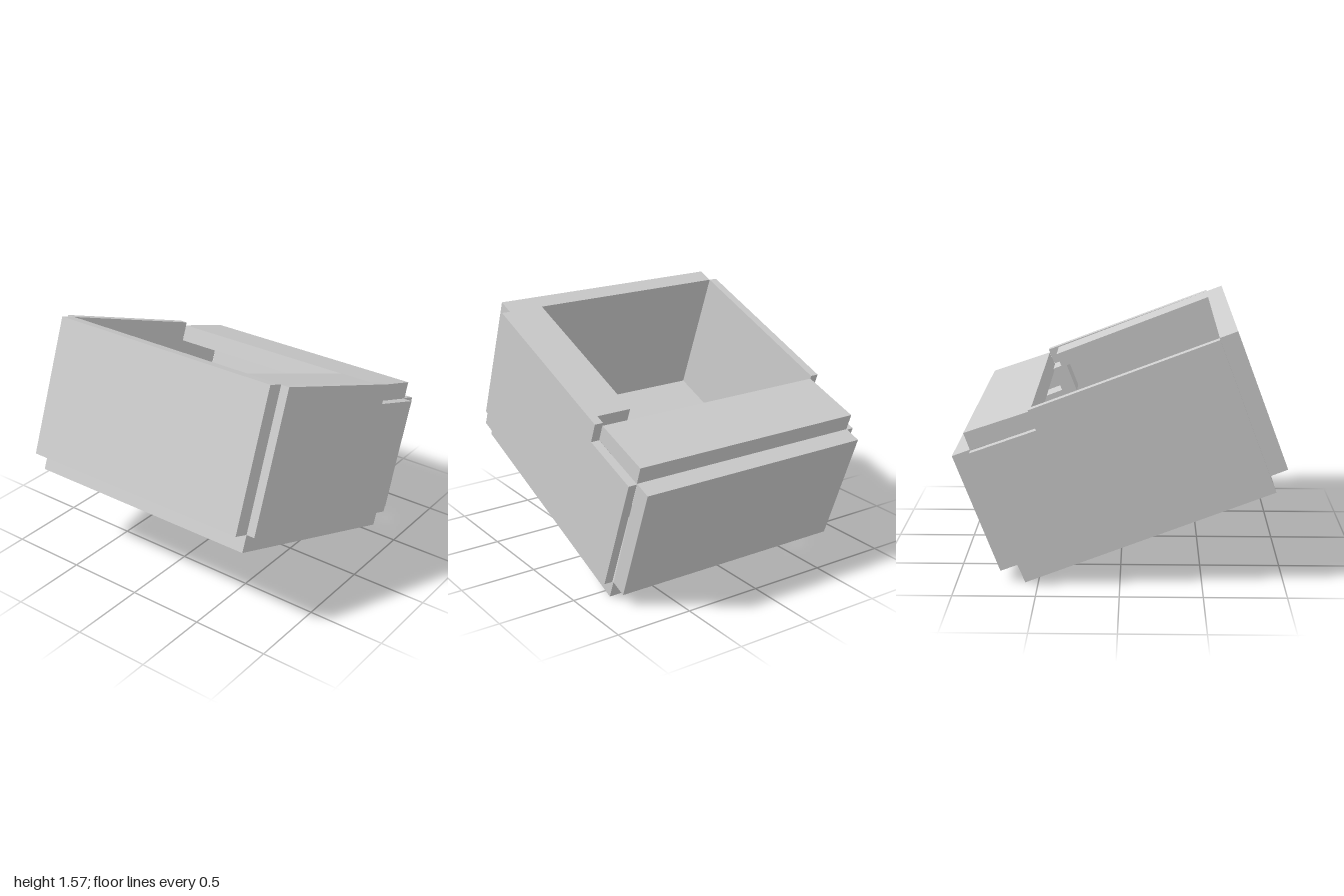
import * as THREE from 'three';

// Tilted open crate: every panel is a slab with its outline in x/y, extruded along z.
export function createModel() {
  const group = new THREE.Group();
  const material = new THREE.MeshStandardMaterial({ color: 0xcccccc, flatShading: true });

  function slab(name, outline, zBack, zFront) {
    const shape = new THREE.Shape(outline.map(([x, y]) => new THREE.Vector2(x, y)));
    const geometry = new THREE.ExtrudeGeometry(shape, { depth: zFront - zBack, bevelEnabled: false });
    geometry.translate(0, 0, zBack);
    const mesh = new THREE.Mesh(geometry, material);
    mesh.name = name;
    group.add(mesh);
  }

  const half = 0.793;

  // Floor and end walls
  slab('floor', [[-0.935, 0.59], [0.58, 0.0], [0.623, 0.112], [-0.892, 0.698]], -half, half);
  slab('highEndWall', [[-1, 0.735], [-0.895, 0.693], [-0.577, 1.53], [-0.682, 1.57]], -half, half);
  slab('lowEndWall', [[0.625, 0.115], [0.73, 0.075], [1, 0.808], [0.893, 0.848]], -half, half);

  // Front and back walls, notched beside the cover
  const side = [[-0.895, 0.693], [0.61, 0.112], [0.89, 0.842], [0.49, 0.985], [0.537, 1.107], [-0.577, 1.53]];
  slab('frontWall', side, half, 0.848);
  slab('backWall', side, -0.848, -half);

  // Cover across the low end
  slab('cover', [[0.49, 0.985], [0.89, 0.845], [0.927, 0.952], [0.53, 1.087]], -half, half);

  // Ledge along the front wall, with its post and inner bar
  slab('frontLedge', [[-0.612, 1.437], [0.43, 1.035], [0.466, 1.126], [-0.577, 1.53]], 0.56, half);
  slab('ledgePost', [[0.33, 0.85], [0.42, 0.815], [0.493, 1.008], [0.403, 1.043]], 0.62, half);
  slab('innerBar', [[0.4, 0.77], [0.8, 0.61], [0.835, 0.7], [0.435, 0.855]], 0.62, half);

  return group;
}
